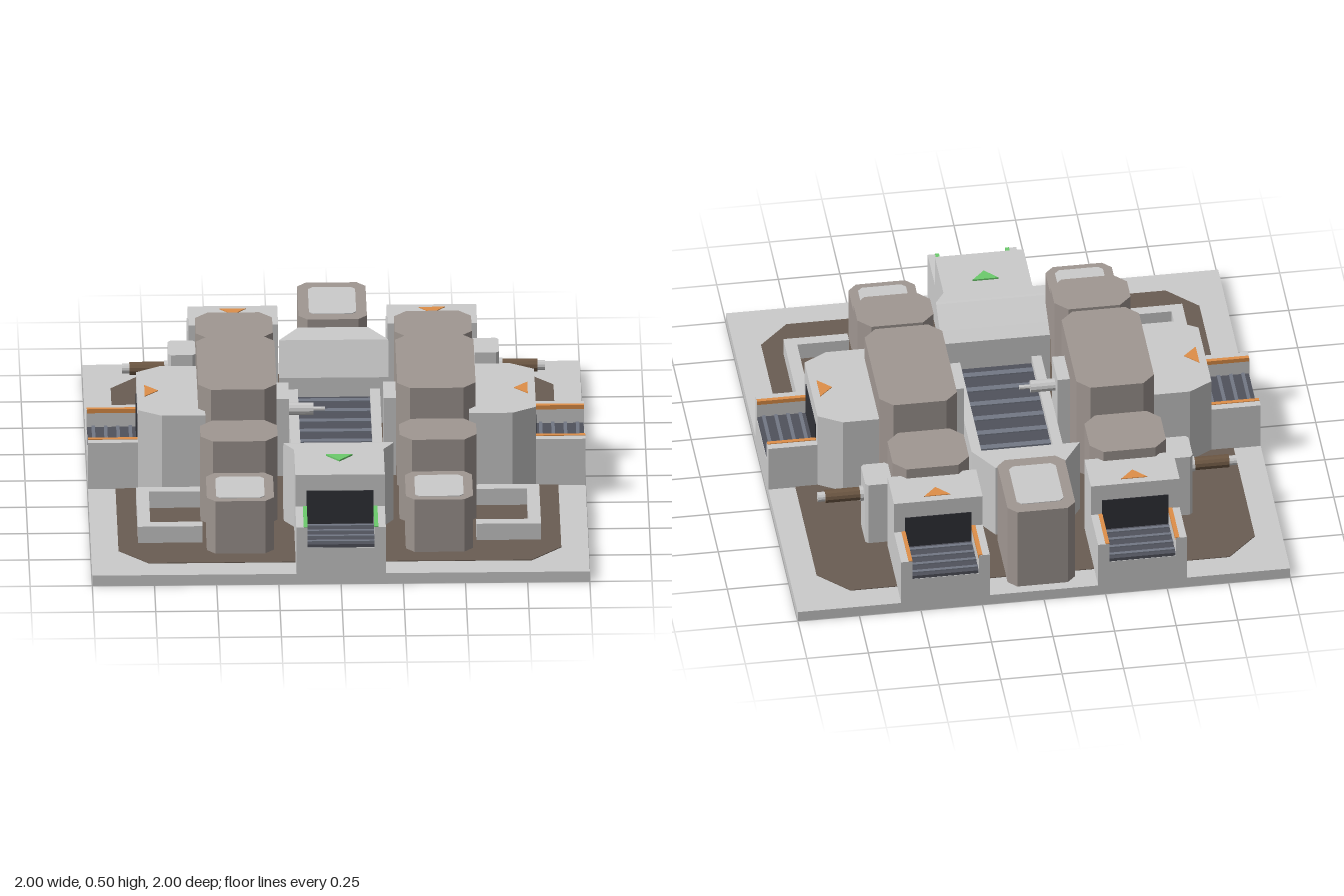
import * as THREE from 'three';

const mat = (color) => new THREE.MeshStandardMaterial({ color, flatShading: true });
const M = {
  grey: mat(0xcccccc), tower: mat(0xa09792), floor: mat(0x6a5d53), belt: mat(0x50525c),
  rib: mat(0x737885), dark: mat(0x303137), orange: mat(0xdf8f48), green: mat(0x6ccb6c), pipe: mat(0x6e5844),
};
const BASE = 0.045;

function add(parent, name, geometry, material) {
  const mesh = new THREE.Mesh(geometry, material);
  mesh.name = name;
  parent.add(mesh);
  return mesh;
}

// Box given by its centre in plan, its size and its bottom and top heights
function box(parent, name, material, x, z, w, d, y0, y1) {
  const mesh = add(parent, name, new THREE.BoxGeometry(w, y1 - y0, d), material);
  mesh.position.set(x, (y0 + y1) / 2, z);
  return mesh;
}

// Upright prism from a plan outline of [x, z] points
function prism(parent, name, material, points, y0, y1) {
  const shape = new THREE.Shape(points.map(([x, z]) => new THREE.Vector2(x, -z)));
  const geometry = new THREE.ExtrudeGeometry(shape, { depth: y1 - y0, bevelEnabled: false });
  geometry.rotateX(-Math.PI / 2);
  geometry.translate(0, y0, 0);
  return add(parent, name, geometry, material);
}

// Block with chamfered vertical corners
function block(parent, name, material, x, z, w, d, c, y0, y1) {
  const a = w / 2, b = d / 2;
  const outline = [[a, b - c], [a - c, b], [c - a, b], [-a, b - c], [-a, c - b], [c - a, -b], [a - c, -b], [a, c - b]];
  return prism(parent, name, material, outline.map(([px, pz]) => [x + px, z + pz]), y0, y1);
}

// Hood lofted through [z, halfWidth, height] sections of rising z
function hood(parent, name, sections) {
  const pos = [], index = [];
  const quad = (a, b, c, d) => {
    const n = pos.length / 3;
    pos.push(...a, ...b, ...c, ...d);
    index.push(n, n + 1, n + 2, n, n + 2, n + 3);
  };
  const ring = ([z, w, h]) => [[-w, BASE, z], [-w, h, z], [w, h, z], [w, BASE, z]];
  const rings = sections.map(ring);
  for (let i = 0; i + 1 < rings.length; i++) {
    const p = rings[i], q = rings[i + 1];
    for (let k = 0; k < 3; k++) quad(p[k], q[k], q[k + 1], p[k + 1]);
  }
  quad(...rings[0]);
  quad(...rings[rings.length - 1].slice().reverse());
  const geometry = new THREE.BufferGeometry();
  geometry.setAttribute('position', new THREE.Float32BufferAttribute(pos, 3));
  geometry.setIndex(index);
  geometry.computeVertexNormals();
  return add(parent, name, geometry, M.grey);
}

function rod(parent, name, material, x0, x1, y, z, r, sides = 12) {
  const geometry = new THREE.CylinderGeometry(r, r, Math.abs(x1 - x0), sides);
  geometry.rotateZ(Math.PI / 2);
  const mesh = add(parent, name, geometry, material);
  mesh.position.set((x0 + x1) / 2, y, z);
}

// Conveyor running along z with raised cross ribs
function conveyor(parent, name, z0, z1, w, y0, y1, ribs) {
  box(parent, name, M.belt, 0, (z0 + z1) / 2, w, z1 - z0, y0, y1);
  const step = (z1 - z0) / ribs;
  for (let i = 0; i < ribs; i++) {
    box(parent, name + 'Rib', M.rib, 0, z0 + step * (i + 0.5), w, step * 0.28, y1, y1 + 0.006);
  }
}

// Conveyor port facing outward along local +z
function port(parent, name, trim, arrowTip, arrowBase, angle, x = 0) {
  const g = new THREE.Group();
  g.name = name;
  g.rotation.y = angle;
  g.position.x = x;
  parent.add(g);
  box(g, 'portBed', M.grey, 0, 0.9, 0.36, 0.2, BASE, 0.16);
  conveyor(g, 'portBelt', 0.8, 0.998, 0.27, 0.16, 0.174, 4);
  for (const s of [-1, 1]) {
    box(g, 'portWall', M.grey, s * 0.1575, 0.9, 0.045, 0.2, 0.16, 0.25);
    box(g, 'portTrim', trim, s * 0.142, 0.9, 0.016, 0.198, 0.235, 0.253);
  }
  box(g, 'portOpening', M.dark, 0, 0.799, 0.27, 0.008, 0.174, 0.32);
  const arrow = [[-0.053, arrowBase], [0.053, arrowBase], [0, arrowTip]];
  if (arrowTip < arrowBase) arrow.reverse();
  prism(g, 'flowArrow', trim, arrow.reverse(), 0.388, 0.397);
  return g;
}

// Light panel set on a tower roof
function roofPanel(parent, x, z, w, d, y) {
  block(parent, 'roofPanel', M.grey, x, z, w, d, 0.018, y - 0.01, y + 0.003);
}

export function createModel() {
  const root = new THREE.Group();
  root.name = 'factory';

  // Ground slab and floor
  box(root, 'baseSlab', M.grey, 0, 0, 2, 2, 0, BASE);
  block(root, 'floor', M.floor, 0, 0, 1.78, 1.78, 0.12, BASE - 0.01, BASE + 0.003);

  // Output port and its hood
  port(root, 'outputPort', M.green, 0.675, 0.62, 0);
  hood(root, 'outputHood', [[0.34, 0.22, 0.3], [0.39, 0.22, 0.33], [0.49, 0.22, 0.388], [0.5, 0.22, 0.39], [0.56, 0.18, 0.39], [0.8, 0.18, 0.39]]);

  // Rear hood over the start of the main belt
  hood(root, 'rearHood', [[-0.61, 0.14, 0.385], [-0.49, 0.22, 0.385], [-0.42, 0.22, 0.25]]);

  // Main belt between its rails
  box(root, 'mainBed', M.grey, 0, -0.04, 0.37, 0.76, BASE, 0.15);
  conveyor(root, 'mainBelt', -0.43, 0.34, 0.29, 0.15, 0.165, 8);

  // Rear centre tower
  block(root, 'rearTower', M.tower, 0, -0.785, 0.275, 0.35, 0.035, BASE, 0.42);
  roofPanel(root, 0, -0.785, 0.19, 0.25, 0.42);

  for (const s of [-1, 1]) {
    const x = s * 0.4;
    // Row of towers
    block(root, 'mainTower', M.tower, x, -0.035, 0.315, 0.51, 0.05, BASE, 0.5);
    block(root, 'backTower', M.tower, x, -0.518, 0.31, 0.245, 0.05, BASE, 0.44);
    block(root, 'frontTower', M.tower, x, 0.44, 0.31, 0.2, 0.05, BASE, 0.42);
    block(root, 'lowTower', M.tower, x, 0.673, 0.27, 0.27, 0.035, BASE, 0.28);
    roofPanel(root, x, 0.68, 0.195, 0.2, 0.28);
    box(root, 'towerLink', M.grey, x, -0.34, 0.195, 0.14, BASE, 0.34);
    box(root, 'towerLink', M.grey, x, 0.28, 0.195, 0.16, BASE, 0.34);

    // Input ports on the sides and back
    const side = port(root, 'sideInput', M.orange, 0.715, 0.77, s * Math.PI / 2);
    prism(side, 'sideHousing', M.grey, [[-0.235, 0.53], [-0.235, 0.705], [-0.18, 0.8], [0.18, 0.8], [0.235, 0.705], [0.235, 0.53]], BASE, 0.394);
    const back = port(root, 'backInput', M.orange, 0.715, 0.77, Math.PI, x);
    box(back, 'backHousing', M.grey, 0, 0.71, 0.36, 0.18, BASE, 0.394);

    // Rails and the pillars beside the main belt
    box(root, 'beltRail', M.grey, s * 0.165, -0.04, 0.04, 0.76, 0.15, 0.2);
    box(root, 'beltPillar', M.grey, s * 0.215, 0, 0.05, 0.156, BASE, 0.39);

    // Side cabinet with its exhaust pipe
    block(root, 'cabinet', M.grey, s * 0.61, -0.523, 0.11, 0.14, 0.012, BASE, 0.34);
    rod(root, 'pipeCollar', M.grey, s * 0.66, s * 0.68, 0.25, -0.523, 0.031);
    rod(root, 'exhaustPipe', M.pipe, s * 0.66, s * 0.82, 0.25, -0.523, 0.027);
    rod(root, 'pipeTip', M.grey, s * 0.8, s * 0.85, 0.25, -0.523, 0.02);

    // Low wall around the front yard
    box(root, 'yardWall', M.grey, s * 0.785, 0.513, 0.05, 0.375, BASE, 0.12);
    box(root, 'yardWall', M.grey, s * 0.655, 0.347, 0.21, 0.044, BASE, 0.12);
    box(root, 'yardWall', M.grey, s * 0.655, 0.678, 0.21, 0.044, BASE, 0.12);
  }

  // Nozzle reaching over the main belt
  rod(root, 'nozzle', M.grey, -0.2, -0.09, 0.31, 0, 0.025);
  rod(root, 'nozzleTip', M.grey, -0.09, -0.045, 0.31, 0, 0.009, 8);

  return root;
}
